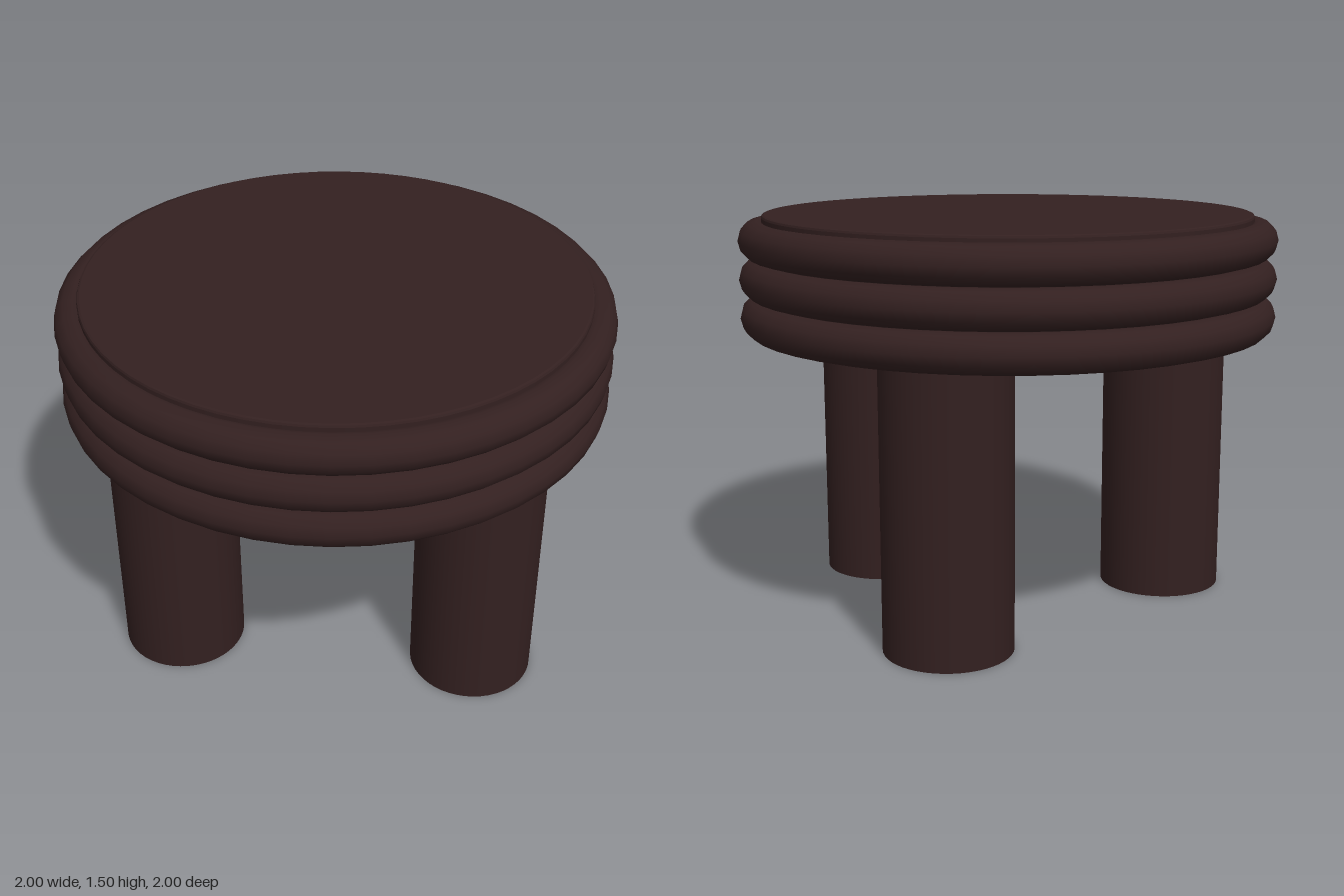
import * as THREE from 'three';
import { toCreasedNormals } from 'three/addons/utils/BufferGeometryUtils.js';

export function createModel() {
  const group = new THREE.Group();
  const wood = new THREE.MeshStandardMaterial({ color: 0x332020 });
  wood.name = 'dark brown';

  const add = (name, geometry, x, y, z) => {
    const mesh = new THREE.Mesh(geometry, wood);
    mesh.name = name;
    mesh.position.set(x, y, z);
    group.add(mesh);
  };

  // Solid round top with a slightly softened upper edge
  const profile = [
    [0, 1.06], [0.913, 1.06], [0.913, 1.487], [0.91, 1.494], [0.903, 1.497], [0, 1.497],
  ].map(([r, y]) => new THREE.Vector2(r, y));
  add('tabletop', toCreasedNormals(new THREE.LatheGeometry(profile, 64), 0.3), 0, 0, 0);

  // Three stacked rounded bands around the top
  const band = new THREE.TorusGeometry(0.93, 0.07, 12, 48);
  band.rotateX(Math.PI / 2);
  [1.124, 1.265, 1.406].forEach((y, i) => add(`edgeBand${i + 1}`, band, 0, y, 0));

  // Three thick legs in a triangle
  const legHeight = 1.08;
  const leg = new THREE.CylinderGeometry(0.235, 0.235, legHeight, 48);
  [[0.535, 0.335], [-0.605, 0.19], [0.182, -0.602]].forEach(([x, z], i) =>
    add(`leg${i + 1}`, leg, x, legHeight / 2, z));

  return group;
}
